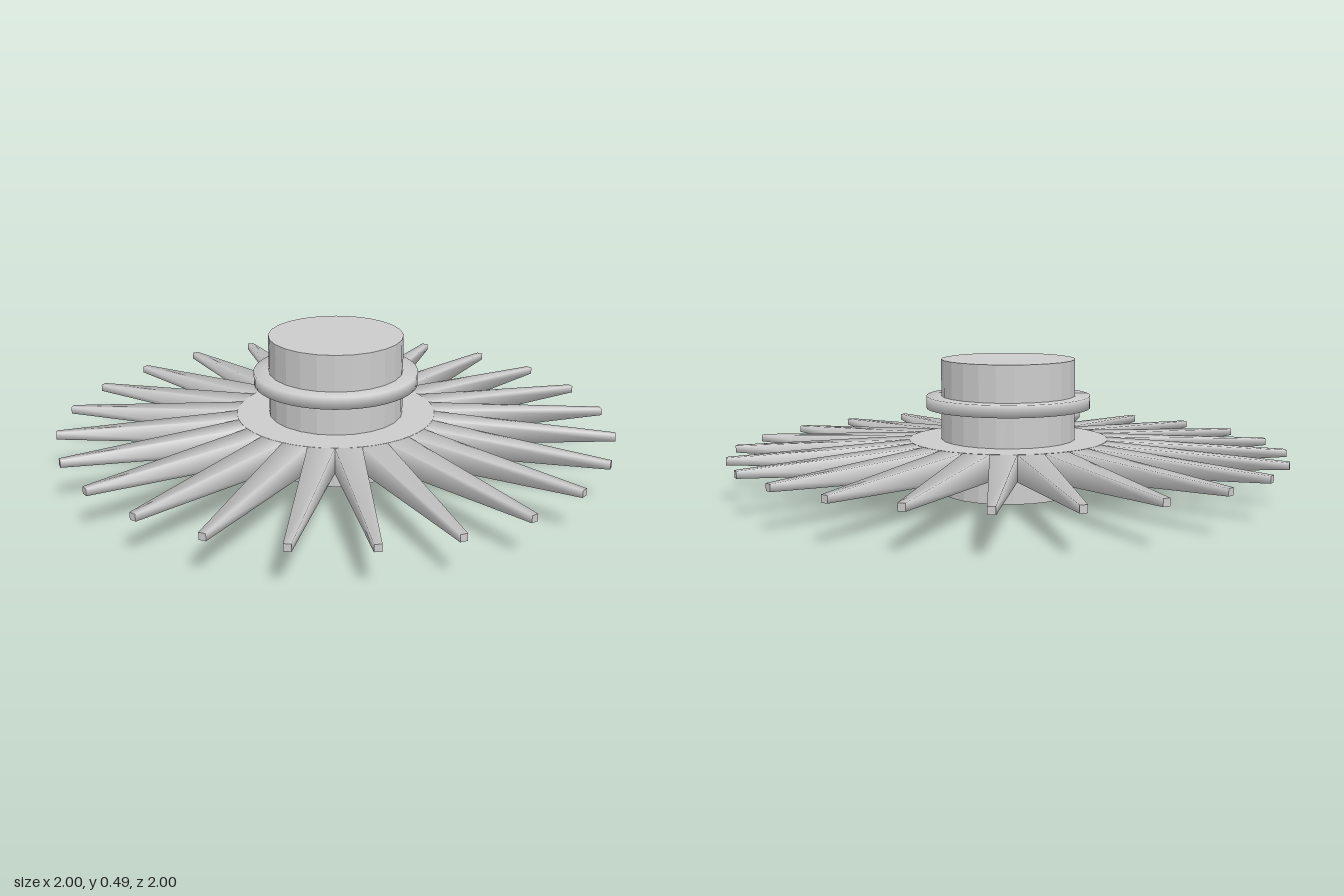
import * as THREE from 'three';

const SPIKES = 24;
const MID_Y = 0.149;

export function createModel() {
  const group = new THREE.Group();
  const smooth = new THREE.MeshStandardMaterial({ color: 0xcccccc });
  const flat = new THREE.MeshStandardMaterial({ color: 0xcccccc, flatShading: true });

  const add = (name, geometry, material, y = 0) => {
    const mesh = new THREE.Mesh(geometry, material);
    mesh.name = name;
    mesh.position.y = y;
    group.add(mesh);
    return mesh;
  };

  // Faceted drum through the middle
  add('hub', new THREE.CylinderGeometry(0.243, 0.243, 0.487, 24), flat, 0.2435);

  // Soft-shaded ring around the hub
  const profile = [[0.235, 0.311], [0.297, 0.311], [0.297, 0.355], [0.235, 0.355]]
    .map(([r, y]) => new THREE.Vector2(r, y));
  add('collar', new THREE.LatheGeometry(profile, 48), smooth);

  // Flat disc carrying the spikes
  add('disc', new THREE.CylinderGeometry(0.36, 0.36, 0.095, 48), smooth, MID_Y);

  // Square tapered spikes, shaded softly around their four sides
  const inner = 0.355, outer = 1.006;
  const spikeGeometry = new THREE.CylinderGeometry(
    0.0125 * Math.SQRT2, 0.047 * Math.SQRT2, outer - inner, 4, 1, false, Math.PI / 4);
  spikeGeometry.rotateX(Math.PI / 2);
  spikeGeometry.translate(0, 0, (inner + outer) / 2);

  const spikes = new THREE.Group();
  spikes.name = 'spikes';
  spikes.position.y = MID_Y;
  for (let i = 0; i < SPIKES; i++) {
    const spike = new THREE.Mesh(spikeGeometry, smooth);
    spike.name = 'spike';
    spike.rotation.y = ((i + 0.5) / SPIKES) * Math.PI * 2;
    spikes.add(spike);
  }
  group.add(spikes);

  return group;
}
